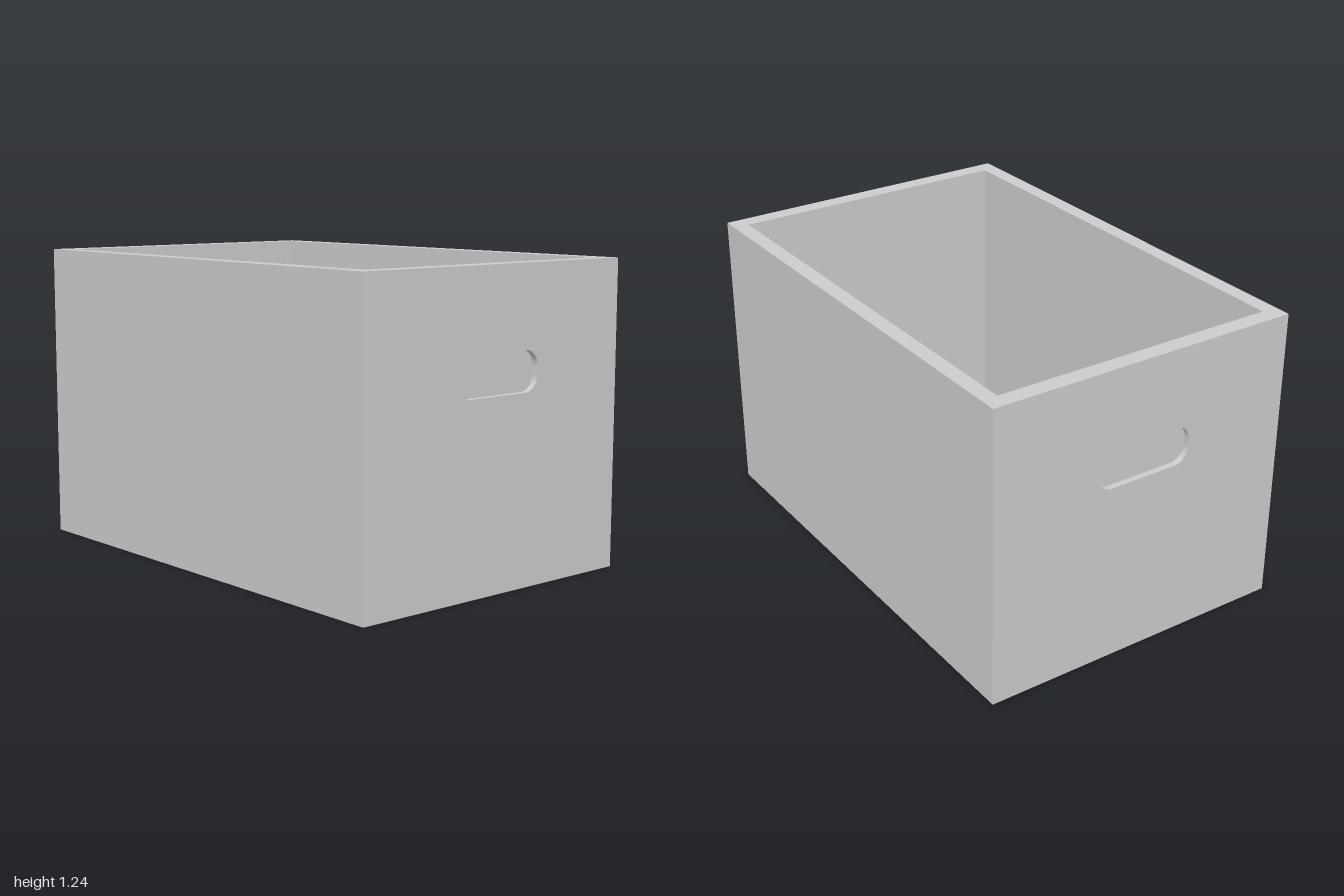
import * as THREE from 'three';
import { toCreasedNormals } from 'three/addons/utils/BufferGeometryUtils.js';

const X = 1, Z = 0.665, H = 1.235;          // outer half sizes and height
const IX = 0.93, IZ = 0.6, FLOOR = 0.07;    // cavity half sizes and floor level
const GRIP = { w: 0.21, y0: 0.75, y1: 0.91, r: 0.065, depth: 0.025 };

const material = new THREE.MeshStandardMaterial({ color: 0xcccccc });

function add(parent, name, geometry) {
  const mesh = new THREE.Mesh(geometry, material);
  mesh.name = name;
  parent.add(mesh);
  return mesh;
}

// Counter-clockwise rectangle, optionally with rounded corners
function rectangle(x0, y0, x1, y1, r = 0) {
  const s = new THREE.Shape();
  if (!r) {
    return s.moveTo(x0, y0).lineTo(x1, y0).lineTo(x1, y1).lineTo(x0, y1).closePath();
  }
  s.absarc(x1 - r, y0 + r, r, -Math.PI / 2, 0);
  s.absarc(x1 - r, y1 - r, r, 0, Math.PI / 2);
  s.absarc(x0 + r, y1 - r, r, Math.PI / 2, Math.PI);
  s.absarc(x0 + r, y0 + r, r, Math.PI, Math.PI * 1.5);
  return s.closePath();
}

// Side wall of a recess, facing inwards, from z down to z - depth
function recessWall(points, z, depth) {
  const pos = [];
  points.forEach((p, i) => {
    const q = points[(i + 1) % points.length];
    if (p.distanceTo(q) < 1e-6) return;
    const b = z - depth;
    pos.push(p.x, p.y, z, q.x, q.y, z, p.x, p.y, b);
    pos.push(q.x, q.y, z, q.x, q.y, b, p.x, p.y, b);
  });
  const g = new THREE.BufferGeometry();
  g.setAttribute('position', new THREE.Float32BufferAttribute(pos, 3));
  return toCreasedNormals(g, 0.6);
}

// End of the box with its shallow grip recess, built facing +z
function endPanel(name) {
  const end = new THREE.Group();
  end.name = name;
  const grip = rectangle(-GRIP.w, GRIP.y0, GRIP.w, GRIP.y1, GRIP.r);
  const face = rectangle(-Z, 0, Z, H);
  face.holes.push(grip);
  add(end, 'endFace', new THREE.ShapeGeometry(face, 8).translate(0, 0, X));
  add(end, 'gripWall', recessWall(grip.getPoints(8), X, GRIP.depth));
  add(end, 'gripBack', new THREE.ShapeGeometry(grip, 8).translate(0, 0, X - GRIP.depth));
  return end;
}

export function createModel() {
  const box = new THREE.Group();
  box.name = 'storageBox';

  // Ends with grips
  for (const [name, s] of [['leftEnd', 1], ['rightEnd', -1]]) {
    const end = endPanel(name);
    end.rotation.y = s * Math.PI / 2;
    box.add(end);
  }

  // Front and back outsides, and the four inside walls
  const depth = H - FLOOR, mid = (H + FLOOR) / 2;
  for (const s of [1, -1]) {
    const turn = s > 0 ? 0 : Math.PI;
    add(box, s > 0 ? 'frontFace' : 'backFace',
      new THREE.PlaneGeometry(2 * X, H).rotateY(turn).translate(0, H / 2, s * Z));
    add(box, s > 0 ? 'backInside' : 'frontInside',
      new THREE.PlaneGeometry(2 * IX, depth).rotateY(turn).translate(0, mid, -s * IZ));
    add(box, s > 0 ? 'rightInside' : 'leftInside',
      new THREE.PlaneGeometry(2 * IZ, depth).rotateY(s * Math.PI / 2).translate(-s * IX, mid, 0));
  }

  // Inside floor, underside and top rim
  add(box, 'floor', new THREE.PlaneGeometry(2 * IX, 2 * IZ).rotateX(-Math.PI / 2).translate(0, FLOOR, 0));
  add(box, 'underside', new THREE.PlaneGeometry(2 * X, 2 * Z).rotateX(Math.PI / 2));
  const rim = rectangle(-X, -Z, X, Z);
  rim.holes.push(rectangle(-IX, -IZ, IX, IZ));
  add(box, 'rim', new THREE.ShapeGeometry(rim).rotateX(-Math.PI / 2).translate(0, H, 0));

  return box;
}
